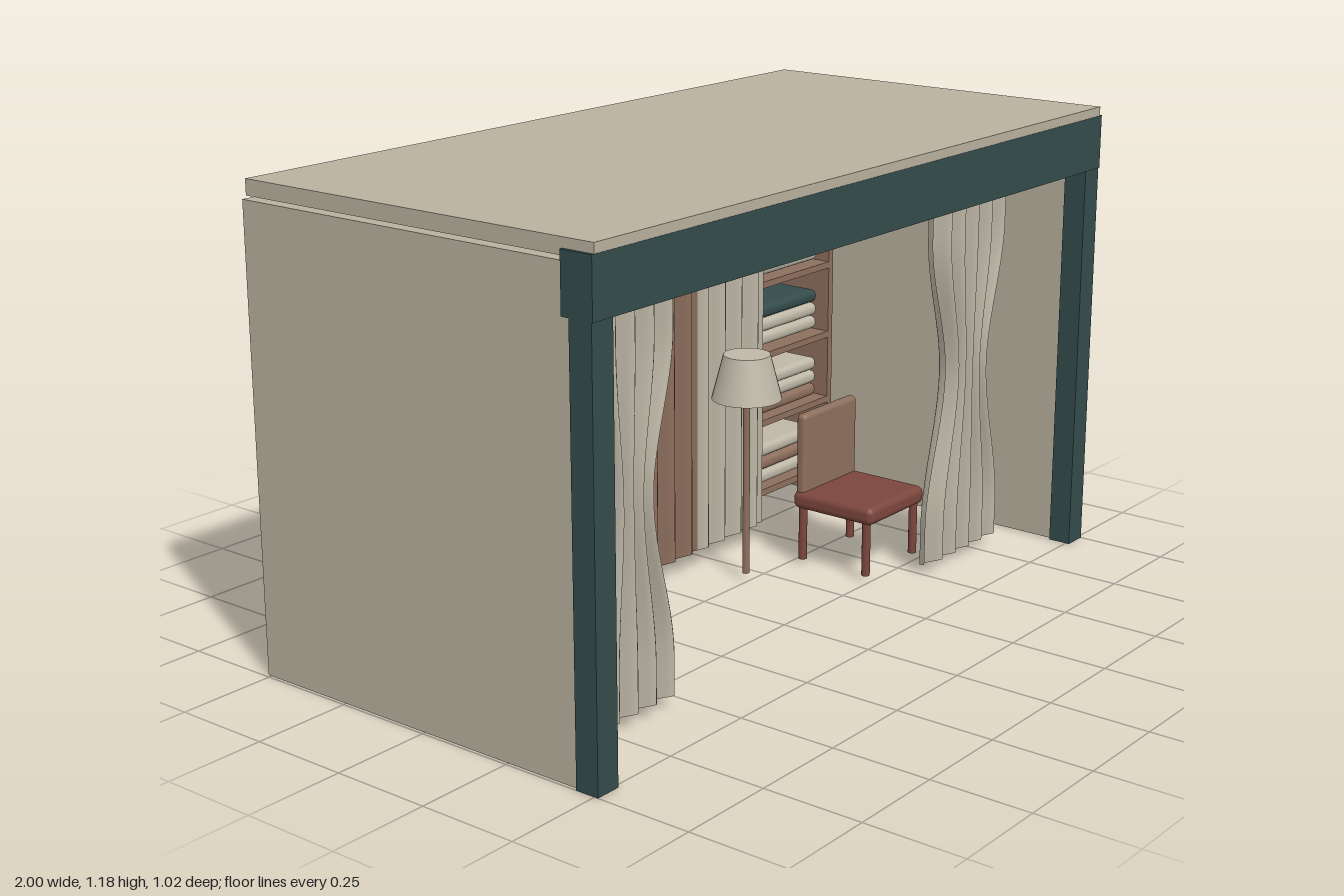
import * as THREE from 'three';
import { RoundedBoxGeometry } from 'three/addons/geometries/RoundedBoxGeometry.js';

const mat = (name, color, side = THREE.FrontSide) => {
  const m = new THREE.MeshStandardMaterial({ color, side });
  m.name = name;
  return m;
};

export function createModel() {
  const root = new THREE.Group();
  root.name = 'curtainShop';
  const plaster = mat('plaster', 0xb9b19f);
  const green = mat('darkGreen', 0x344b4c);
  const wood = mat('wood', 0x8d6f5d);
  const red = mat('redUpholstery', 0x7c463d);
  const cream = mat('creamCloth', 0xbfb8a8, THREE.DoubleSide);
  const brownCloth = mat('brownCloth', 0x8d6f5d, THREE.DoubleSide);
  const redCloth = mat('redCloth', 0x7c463d, THREE.DoubleSide);

  const add = (parent, name, geo, m, x = 0, y = 0, z = 0) => {
    const mesh = new THREE.Mesh(geo, m);
    mesh.name = name;
    mesh.position.set(x, y, z);
    parent.add(mesh);
    return mesh;
  };
  // box given by its limits on each axis
  const box = (parent, name, m, x0, x1, y0, y1, z0, z1) =>
    add(parent, name, new THREE.BoxGeometry(x1 - x0, y1 - y0, z1 - z0), m,
      (x0 + x1) / 2, (y0 + y1) / 2, (z0 + z1) / 2);
  const group = (name) => {
    const g = new THREE.Group();
    g.name = name;
    root.add(g);
    return g;
  };

  // shell: walls, roof floating just above them, front frame
  box(root, 'backWall', plaster, -0.992, 0.992, 0, 1.13, -0.51, -0.465);
  for (const s of [-1, 1]) {
    const side = s < 0 ? 'right' : 'left';
    add(root, side + 'Wall', new THREE.BoxGeometry(0.045, 1.13, 0.915), plaster, s * 0.9695, 0.565, -0.0075);
    add(root, side + 'Post', new THREE.BoxGeometry(0.065, 1.02, 0.06), green, s * 0.9675, 0.51, 0.48);
  }
  box(root, 'roof', plaster, -0.992, 0.992, 1.14, 1.178, -0.497, 0.512);
  box(root, 'header', green, -1, 1, 1.018, 1.155, 0.43, 0.513);
  box(root, 'ceilingTrack', green, -0.85, 0.85, 1.115, 1.139, 0.07, 0.14);

  // pleated cloth sheet; half(y) gives its half width at each height
  const curtain = (name, m, x, z, bottom, top, half, folds, amp) => {
    const geo = new THREE.PlaneGeometry(2, 1, folds * 12, 32);
    const p = geo.attributes.position;
    for (let i = 0; i < p.count; i++) {
      const u = p.getX(i), t = p.getY(i) + 0.5;
      const y = bottom + t * (top - bottom);
      const wave = Math.sin(u * Math.PI * folds);
      const hem = Math.max(0, 1 - t * 8) * 0.008 * wave;
      p.setXYZ(i, u * half(y), y + hem, wave * amp);
    }
    geo.computeVertexNormals();
    add(root, name, geo, m, x, 0, z);
  };

  // row of display curtains on the rear rod
  [brownCloth, redCloth, cream, brownCloth, cream].forEach((m, i) =>
    curtain('displayCurtain', m, -0.797 + i * 0.2775, -0.16, 0.05, 1.005, () => 0.139, 4, 0.022));

  // tied curtains in the opening, pinched at the waist
  const ease = (a) => { const t = Math.min(1, a); return t * t * (3 - 2 * t); };
  const pinch = (y) => 0.082 + 0.076 * ease(Math.abs(y - 0.53) / (y > 0.53 ? 0.36 : 0.4));
  for (const x of [-0.706, 0.652]) curtain('tiedCurtain', cream, x, 0.335, 0.03, 1.005, pinch, 5, 0.025);

  // curtain rods
  const rod = (name, x0, x1, z) =>
    add(root, name, new THREE.CylinderGeometry(0.01, 0.01, x1 - x0, 12), wood, (x0 + x1) / 2, 1.01, z)
      .rotation.z = Math.PI / 2;
  rod('frontRod', -0.945, 0.945, 0.335);
  rod('rearRod', -0.945, 0.48, -0.16);

  // floor lamp
  const lamp = group('floorLamp');
  lamp.position.set(0.185, 0, -0.01);
  add(lamp, 'lampPole', new THREE.CylinderGeometry(0.009, 0.009, 0.53, 12), wood, 0, 0.285, 0);
  add(lamp, 'lampShade', new THREE.CylinderGeometry(0.06, 0.09, 0.115, 24), cream, 0, 0.5475, 0);

  // chair
  const chair = group('chair');
  chair.position.set(0.48, 0, 0.135);
  add(chair, 'seat', new RoundedBoxGeometry(0.25, 0.048, 0.25, 3, 0.018), red, 0, 0.178, 0);
  add(chair, 'backrest', new RoundedBoxGeometry(0.235, 0.22, 0.03, 3, 0.012), wood, 0, 0.3, -0.105);
  for (const x of [-1, 1]) for (const z of [-1, 1])
    add(chair, 'chairLeg', new THREE.CylinderGeometry(0.011, 0.011, 0.145, 10), red, x * 0.108, 0.0875, z * 0.1);

  // shelving with folded cloth
  const shelf = group('shelving');
  for (const x of [0.455, 0.875]) box(shelf, 'shelfSide', wood, x, x + 0.02, 0, 0.887, -0.45, -0.25);
  [0.08, 0.28, 0.47, 0.67, 0.868].forEach((y) =>
    box(shelf, 'shelfBoard', wood, 0.475, 0.875, y - 0.009, y + 0.009, -0.45, -0.25));
  const stacks = [
    [0.092, [cream, brownCloth, cream]],
    [0.292, [brownCloth, cream, cream]],
    [0.488, [cream, cream, green]],
    [0.685, [cream, green, cream]],
  ];
  for (const [y, cloths] of stacks) cloths.forEach((m, i) =>
    add(shelf, 'foldedCloth', new RoundedBoxGeometry(0.365, 0.036, 0.15, 3, 0.016), m,
      0.67, y + 0.02 + i * 0.038, -0.345));

  return root;
}
